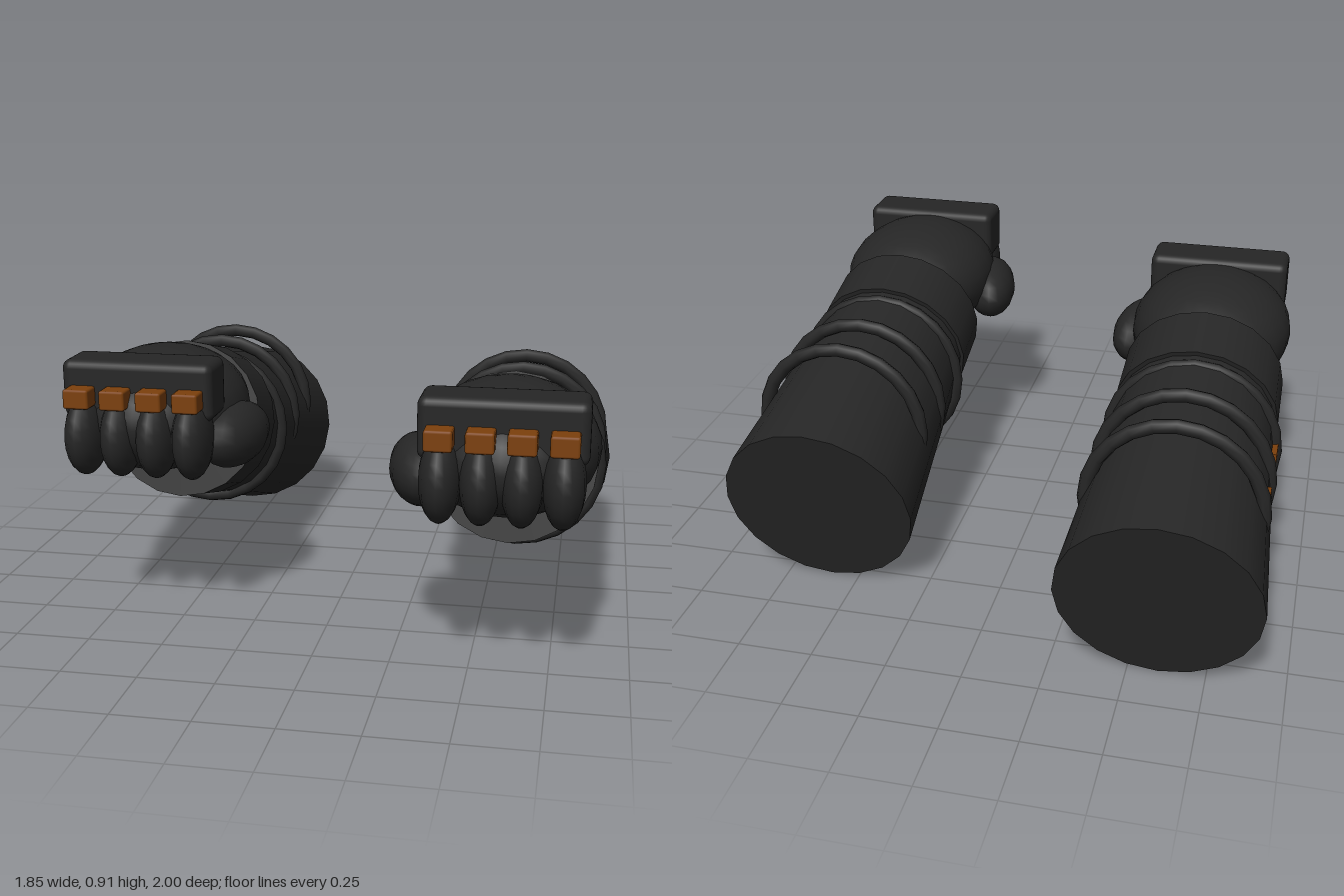
import * as THREE from 'three';
import { RoundedBoxGeometry } from 'three/addons/geometries/RoundedBoxGeometry.js';

const armour = new THREE.MeshStandardMaterial({ name: 'charcoal', color: 0x262626 });
const accent = new THREE.MeshStandardMaterial({ name: 'burntOrange', color: 0x7c400c });

const PITCH = THREE.MathUtils.degToRad(75); // forearm axis rises 15 degrees towards the hand

function add(group, name, geometry, material, x, y, z) {
  const mesh = new THREE.Mesh(geometry, material);
  mesh.name = name;
  mesh.position.set(x, y, z);
  group.add(mesh);
  return mesh;
}

// Tapered tube between two points (y, z) on the arm axis
function sleeve(group, name, back, front, backRadius, frontRadius) {
  const length = Math.hypot(front[0] - back[0], front[1] - back[1]);
  const geometry = new THREE.CylinderGeometry(frontRadius, backRadius, length, 20);
  const mesh = add(group, name, geometry, armour, 0, (back[0] + front[0]) / 2, (back[1] + front[1]) / 2);
  mesh.rotation.x = PITCH;
}

function ellipsoid(group, name, x, y, z, rx, ry, rz, w = 16, h = 12) {
  const geometry = new THREE.SphereGeometry(1, w, h).scale(rx, ry, rz);
  return add(group, name, geometry, armour, x, y, z);
}

// side is +1 for the left gauntlet and -1 for the right; outward is side * x
function gauntlet(side) {
  const g = new THREE.Group();
  g.name = side > 0 ? 'leftGauntlet' : 'rightGauntlet';

  // Forearm and wrist cuff
  sleeve(g, 'forearm', [0.318, -0.626], [0.544, 0.2], 0.327, 0.27);
  sleeve(g, 'wristCuff', [0.543, 0.193], [0.6, 0.405], 0.283, 0.28);

  // Upright bands around the forearm
  for (const z of [0.09, -0.13, -0.345]) {
    add(g, 'forearmBand', new THREE.TorusGeometry(0.283, 0.024, 8, 24), armour, 0, 0.495, z);
  }

  // Coloured strips along the outer side
  for (const z of [0.035, -0.11, -0.255]) {
    add(g, 'sideStrip', new THREE.BoxGeometry(0.03, 0.04, 0.075), accent, side * 0.279, 0.51, z);
  }

  // Fist
  ellipsoid(g, 'hand', 0, 0.7, 0.605, 0.285, 0.208, 0.355, 24, 16);
  const thumb = ellipsoid(g, 'thumb', -side * 0.265, 0.63, 0.68, 0.095, 0.108, 0.185);
  thumb.rotation.y = side * 0.2;
  add(g, 'knucklePlate', new RoundedBoxGeometry(0.5, 0.19, 0.178, 3, 0.028), armour, 0, 0.815, 0.814);

  // Fingers, each with a knuckle stud
  for (let i = 0; i < 4; i++) {
    const x = (i - 1.5) * 0.12;
    ellipsoid(g, 'finger', x, 0.663, 0.88, 0.064, 0.135, 0.12);
    add(g, 'knuckleStud', new RoundedBoxGeometry(0.085, 0.064, 0.09, 1, 0.008), accent, x, 0.797, 0.927);
  }

  g.position.set(side * 0.597, 0, side > 0 ? 0 : -0.287);
  return g;
}

export function createModel() {
  const model = new THREE.Group();
  model.name = 'gauntletPair';
  model.add(gauntlet(1), gauntlet(-1));
  return model;
}
